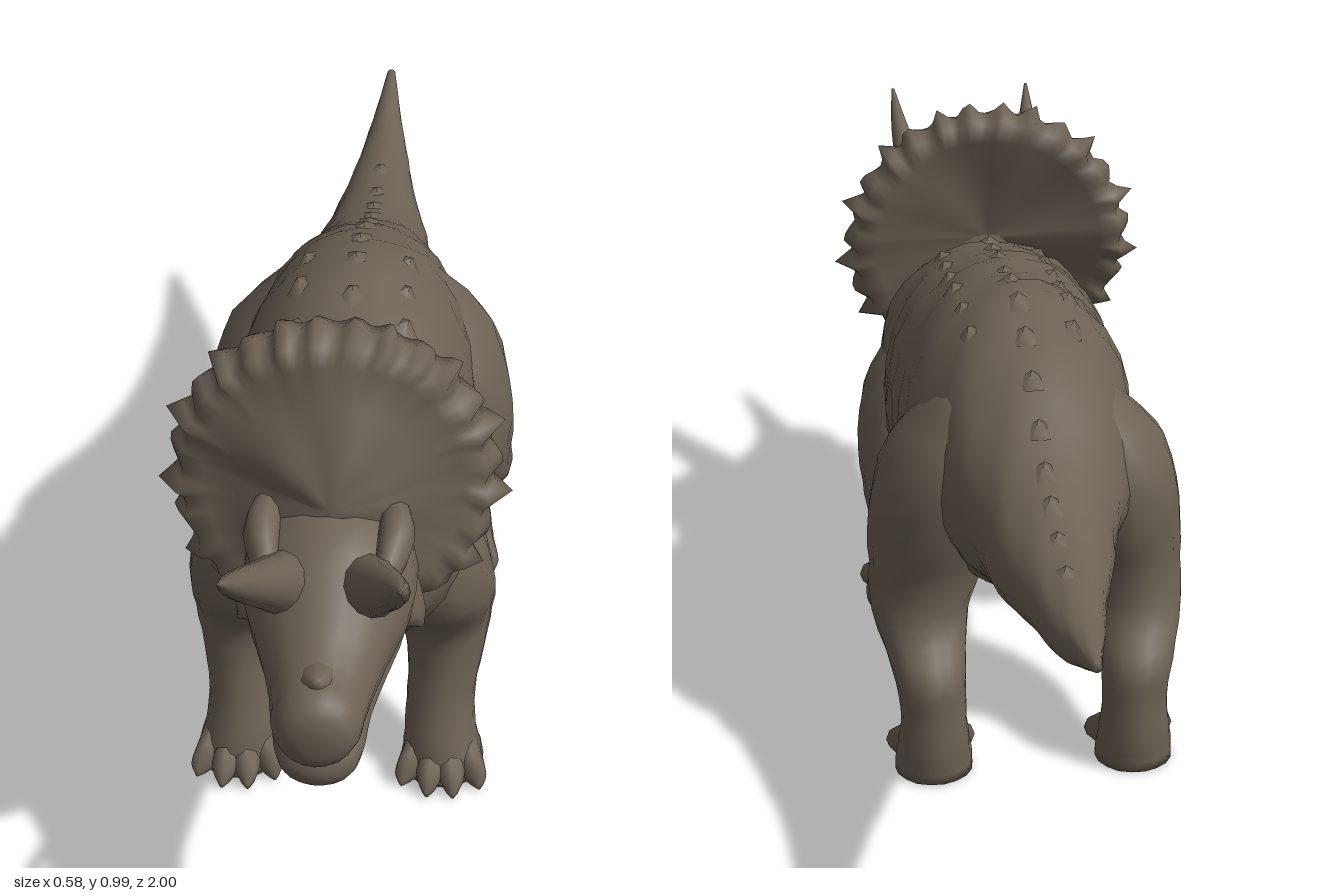
import * as THREE from 'three';

const hide = new THREE.MeshStandardMaterial({ color: 0x6c6154 });
hide.name = 'brown hide';
const V = (x, y, z) => new THREE.Vector3(x, y, z);

// Closed skin over a list of equal-length rings, with both ends capped
function skin(rings) {
  const n = rings[0].length, pos = [], idx = [];
  for (const ring of rings) for (const p of ring) pos.push(p.x, p.y, p.z);
  for (let i = 0; i < rings.length - 1; i++) {
    for (let j = 0; j < n; j++) {
      const a = i * n + j, b = i * n + (j + 1) % n;
      idx.push(a, b, b + n, a, b + n, a + n);
    }
  }
  for (const i of [0, rings.length - 1]) {
    const mid = V(0, 0, 0);
    rings[i].forEach(p => mid.addScaledVector(p, 1 / n));
    const c = pos.length / 3;
    pos.push(mid.x, mid.y, mid.z);
    for (let j = 0; j < n; j++) {
      const a = i * n + j, b = i * n + (j + 1) % n;
      if (i === 0) idx.push(c, b, a); else idx.push(c, a, b);
    }
  }
  const g = new THREE.BufferGeometry();
  g.setAttribute('position', new THREE.Float32BufferAttribute(pos, 3));
  g.setIndex(idx);
  g.computeVertexNormals();
  return g;
}

// Smooth rings through sections [x, y, z, half width, half depth]; pitch turns them about x
function loftRings(sections, pitch = 0, n = 20, rough = 0) {
  const centre = new THREE.CatmullRomCurve3(sections.map(s => V(s[0], s[1], s[2])), false, 'catmullrom');
  const size = new THREE.CatmullRomCurve3(sections.map(s => V(s[3], s[4], 0)), false, 'catmullrom');
  const steps = (sections.length - 1) * 3, rings = [];
  for (let i = 0; i <= steps; i++) {
    const c = centre.getPoint(i / steps), r = size.getPoint(i / steps), ring = [];
    for (let j = 0; j < n; j++) {
      const a = j / n * Math.PI * 2;
      const k = 1 + rough * Math.sin(i * 1.9 + 2 * Math.sin(a * 3)) * Math.cos(a * 4 + i * 0.7);
      const u = Math.cos(a) * Math.max(r.x, 0.002) * k, v = Math.sin(a) * Math.max(r.y, 0.002) * k;
      ring.push(V(c.x + u, c.y + v * Math.cos(pitch), c.z + v * Math.sin(pitch)));
    }
    rings.push(ring);
  }
  return rings;
}
const loft = (...args) => skin(loftRings(...args));
// Turns [z, top, bottom, half width] into a loft section on the centre line
const profile = rows => rows.map(([z, t, b, w]) => [0, (t + b) / 2, z, w, (t - b) / 2]);

// Frill: a cupped disc with a toothed rim
function frillGeometry() {
  const teeth = 28, n = teeth * 4;
  const rows = [[0.1, 0.5], [0.5, 0.48], [0.82, 0.455], [0.96, 0.448], [1, 0.485],
    [0.95, 0.525], [0.82, 0.53], [0.6, 0.555], [0.35, 0.595], [0.1, 0.62]];
  return skin(rows.map(([f, z], i) => {
    const ring = [];
    for (let j = 0; j < n; j++) {
      const a = j / n * Math.PI * 2, s = Math.sin(a);
      const tooth = [0, 0.5, 1, 0.25][j % 4] * (0.7 + 0.3 * Math.sin(j * 2.3));
      let r = 0.258 * f - 0.06 * f * Math.max(0, -s - 0.6);
      if (i > 2 && i < 6) r += tooth * (i === 4 ? 0.034 : 0.012);
      const ripple = f > 0.3 && f < 0.9 ? 0.005 * Math.sin(a * 5 + i) : 0;
      const bulge = f > 0.9 ? (i === 5 ? 0.012 : i === 3 ? -0.008 : 0) * tooth : 0;
      const sweep = 0.075 * f * Math.max(0, 0.1 - s);
      ring.push(V(r * Math.cos(a), 0.71 + r * s, z + ripple + bulge + sweep));
    }
    return ring;
  }));
}

export function createModel() {
  const model = new THREE.Group();
  const add = (name, geometry, parent = model) => {
    const m = new THREE.Mesh(geometry, hide);
    m.name = name;
    parent.add(m);
    return m;
  };

  // Trunk, tail and neck
  const trunk = loftRings(profile([
    [-1, 0.638, 0.622, 0.008], [-0.9, 0.622, 0.572, 0.024], [-0.8, 0.608, 0.525, 0.042],
    [-0.65, 0.605, 0.485, 0.068], [-0.5, 0.622, 0.44, 0.1], [-0.38, 0.66, 0.41, 0.125],
    [-0.25, 0.72, 0.36, 0.165], [-0.1, 0.782, 0.28, 0.2], [0.05, 0.8, 0.238, 0.215],
    [0.2, 0.775, 0.235, 0.217], [0.35, 0.745, 0.255, 0.215], [0.46, 0.72, 0.31, 0.205],
    [0.54, 0.68, 0.37, 0.175], [0.62, 0.62, 0.43, 0.11]]), 0, 28, 0.026);
  add('body', skin(trunk));

  // Small raised scales along the back
  const scales = new THREE.Group();
  scales.name = 'backScales';
  model.add(scales);
  for (let i = 8; i < 34; i++) {
    for (const j of i % 2 ? [7] : i > 20 ? [5, 9] : []) {
      const p = trunk[i][j], q = trunk[i][(j + 14) % 28];
      const s = add('scale', new THREE.ConeGeometry(0.028, 0.024, 5), scales);
      s.position.copy(p);
      s.quaternion.setFromUnitVectors(V(0, 1, 0), p.clone().sub(q).normalize());
      s.scale.z = 1.5;
    }
  }

  // Head
  const head = new THREE.Group();
  head.name = 'head';
  model.add(head);
  add('skull', loft(profile([
    [0.5, 0.72, 0.45, 0.12], [0.58, 0.71, 0.44, 0.142], [0.66, 0.69, 0.435, 0.138],
    [0.73, 0.65, 0.43, 0.115], [0.8, 0.6, 0.425, 0.09], [0.86, 0.575, 0.42, 0.077],
    [0.905, 0.566, 0.425, 0.07], [0.933, 0.545, 0.44, 0.052], [0.945, 0.515, 0.465, 0.02]]), 0, 20, 0.012), head);
  add('lowerJaw', loft(profile([
    [0.5, 0.53, 0.4, 0.12], [0.62, 0.52, 0.41, 0.122], [0.72, 0.51, 0.402, 0.1],
    [0.8, 0.49, 0.39, 0.08], [0.86, 0.47, 0.37, 0.072], [0.895, 0.445, 0.37, 0.055],
    [0.912, 0.415, 0.39, 0.018]]), 0, 18), head);
  add('noseBump', loft([[0, 0.545, 0.84, 0.04, 0.04], [0, 0.562, 0.875, 0.028, 0.026],
    [0, 0.578, 0.895, 0.006, 0.006]], -0.7, 8), head);
  add('frill', frillGeometry(), head);

  for (const [side, s] of [['left', 1], ['right', -1]]) {
    // Horns, brows, eyes and cheeks
    add(side + 'BrowHorn', loft([[s * 0.062, 0.605, 0.68, 0.058, 0.058], [s * 0.085, 0.66, 0.755, 0.043, 0.043],
      [s * 0.113, 0.725, 0.845, 0.029, 0.029], [s * 0.128, 0.785, 0.925, 0.017, 0.017],
      [s * 0.135, 0.84, 0.997, 0.003, 0.003]], -0.6, 12), head);
    add(side + 'Brow', loft([[s * 0.1, 0.69, 0.55, 0.02, 0.02], [s * 0.108, 0.67, 0.64, 0.03, 0.036],
      [s * 0.09, 0.635, 0.73, 0.015, 0.02]], 0, 10), head);
    const eye = add(side + 'Eye', new THREE.SphereGeometry(0.018, 10, 8), head);
    eye.position.set(s * 0.115, 0.61, 0.69);
    add(side + 'Cheek', loft([[s * 0.09, 0.58, 0.6, 0.05, 0.07], [s * 0.115, 0.52, 0.61, 0.04, 0.055],
      [s * 0.148, 0.475, 0.605, 0.006, 0.008]], Math.PI / 2, 10), head);

    // Legs
    const frontLeg = new THREE.Group(), hindLeg = new THREE.Group();
    frontLeg.name = side + 'FrontLeg';
    hindLeg.name = side + 'HindLeg';
    model.add(frontLeg, hindLeg);
    add('foreLimb', loft([
      [s * 0.1, 0.6, 0.38, 0.06, 0.06], [s * 0.145, 0.5, 0.38, 0.095, 0.1],
      [s * 0.163, 0.39, 0.36, 0.1, 0.118], [s * 0.176, 0.3, 0.318, 0.085, 0.095],
      [s * 0.18, 0.22, 0.335, 0.067, 0.075], [s * 0.175, 0.15, 0.365, 0.06, 0.062],
      [s * 0.175, 0.09, 0.385, 0.062, 0.064], [s * 0.18, 0.04, 0.392, 0.07, 0.074],
      [s * 0.18, 0.005, 0.392, 0.072, 0.076]], Math.PI / 2, 18, 0.02), frontLeg);
    add('hindLimb', loft([
      [s * 0.07, 0.7, -0.12, 0.06, 0.08], [s * 0.13, 0.58, -0.11, 0.115, 0.15],
      [s * 0.16, 0.45, -0.1, 0.117, 0.155], [s * 0.178, 0.35, -0.1, 0.102, 0.13],
      [s * 0.192, 0.275, -0.14, 0.086, 0.1], [s * 0.185, 0.2, -0.225, 0.066, 0.07],
      [s * 0.18, 0.13, -0.248, 0.058, 0.056], [s * 0.18, 0.06, -0.245, 0.065, 0.065],
      [s * 0.18, 0.005, -0.238, 0.07, 0.07]], Math.PI / 2, 18, 0.02), hindLeg);

    // Pointed toes fanned across each foot
    for (const [leg, z] of [[frontLeg, 0.405], [hindLeg, -0.225]]) {
      for (let t = 0; t < 4; t++) {
        const f = (t - 1.5) / 1.5, x = s * 0.18 + f * 0.05, reach = 0.095 - 0.03 * f * f;
        add('toe', loft([[x * 0.6 + s * 0.072, 0.055, z - 0.03, 0.03, 0.045], [x, 0.036, z + reach * 0.45, 0.026, 0.032],
          [x + f * 0.012, 0.024, z + reach * 0.8, 0.018, 0.021],
          [x + f * 0.018, 0.012, z + reach, 0.004, 0.006]], 0, 8), leg);
      }
    }
  }
  return model;
}
